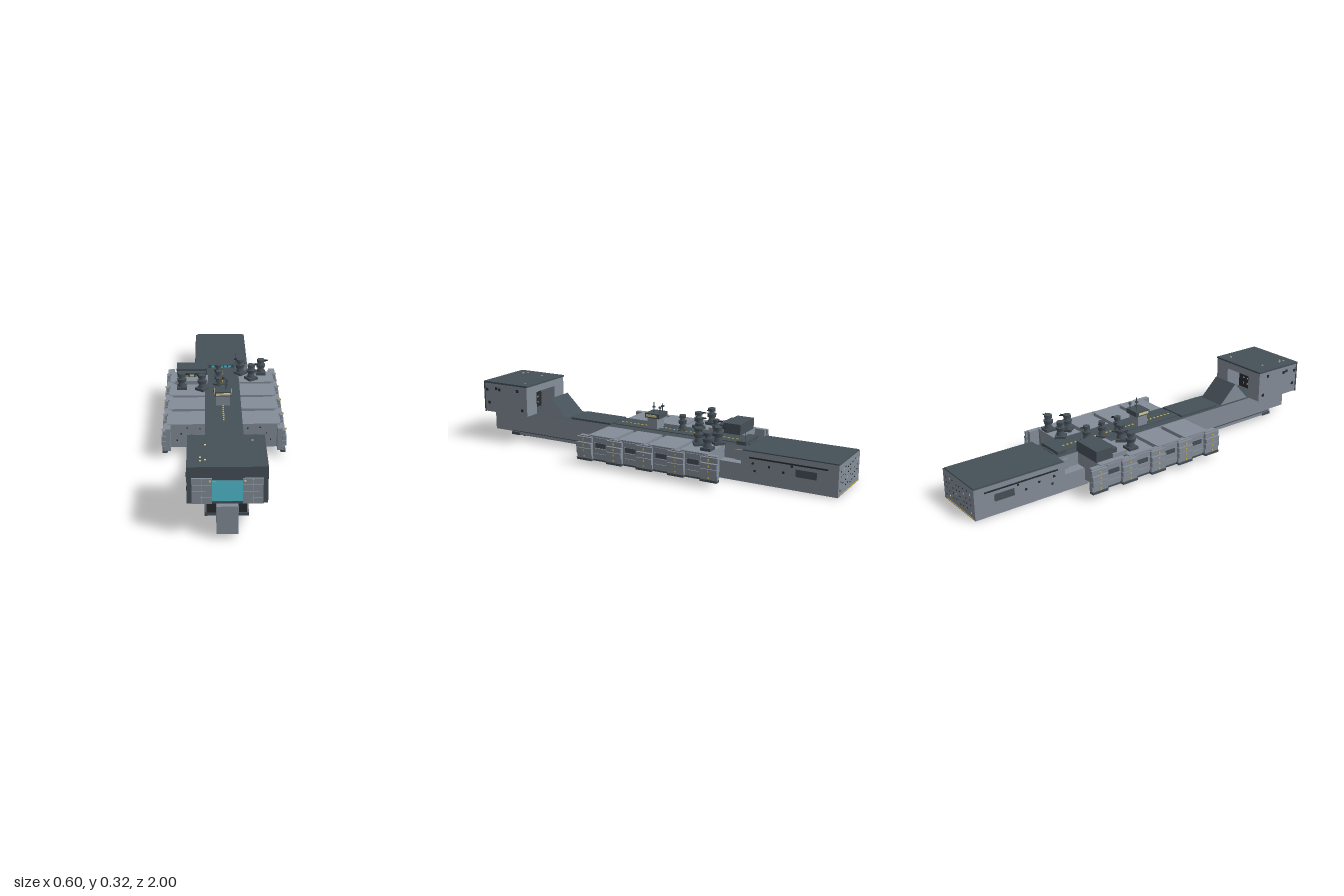
import * as THREE from 'three';

const mat = (name, color) => {
  const m = new THREE.MeshStandardMaterial({ color });
  m.name = name;
  return m;
};

export function createModel() {
  const root = new THREE.Group();
  root.name = 'spaceCruiser';
  const hull = mat('hull grey', 0x848d98);
  const dark = mat('dark plating', 0x465058);
  const black = mat('recess black', 0x272c31);
  const cyan = mat('glass cyan', 0x50bccf);
  const yellow = mat('marker yellow', 0xc9aa3a);
  const cream = mat('window cream', 0xd6cb98);

  // Box from its limits; top and bottom may have their own colour
  function box(name, m, x0, x1, y0, y1, z0, z1, top = m, bottom = m, parent = root) {
    const geo = new THREE.BoxGeometry(x1 - x0, y1 - y0, z1 - z0);
    const mesh = new THREE.Mesh(geo, top === m && bottom === m ? m : [m, m, top, bottom, m, m]);
    mesh.position.set((x0 + x1) / 2, (y0 + y1) / 2, (z0 + z1) / 2);
    mesh.name = name;
    parent.add(mesh);
    return mesh;
  }
  // Box mirrored to both sides of the ship
  function pair(name, m, x0, x1, y0, y1, z0, z1, top = m, bottom = m) {
    box(name + 'Left', m, x0, x1, y0, y1, z0, z1, top, bottom);
    box(name + 'Right', m, -x1, -x0, y0, y1, z0, z1, top, bottom);
  }
  function cyl(name, m, r0, r1, h, x, y, z, sides, parent) {
    const mesh = new THREE.Mesh(new THREE.CylinderGeometry(r0, r1, h, sides), m);
    mesh.position.set(x, y, z);
    mesh.name = name;
    parent.add(mesh);
    return mesh;
  }

  // Neck, nose and keel
  box('neck', hull, -0.09, 0.09, 0.028, 0.155, -0.53, 0.85, dark, dark);
  box('neckFrontFrame', dark, -0.093, 0.093, 0.025, 0.04, 0.8, 0.856);
  pair('neckFrontRecess', black, 0.045, 0.085, 0.04, 0.154, 0.85, 0.854);
  box('nose', hull, -0.045, 0.045, 0.026, 0.155, 0.85, 1.0);
  box('lowerHull', hull, -0.143, 0.143, 0.016, 0.09, -0.53, 0.28, hull, dark);
  box('rearKeel', hull, -0.143, 0.143, 0.004, 0.03, -0.53, -0.4, hull, dark);
  pair('keelRail', black, 0.022, 0.032, 0.002, 0.016, -0.5, 0.24);
  pair('keelFin', dark, 0.02, 0.032, 0.002, 0.03, 0.815, 0.825);
  box('spine', dark, -0.046, 0.046, 0.1, 0.158, -0.53, 0.23);
  box('foreDeck', dark, -0.075, 0.075, 0.15, 0.164, 0.23, 0.47);
  for (const s of [-1, 1]) box('neckSeam', dark, s * 0.0915 - 0.0015, s * 0.0915 + 0.0015, 0.045, 0.049, 0.29, 0.85);
  for (let z = -0.47; z < 0.22; z += 0.023)
    box('spineLight', yellow, -0.004, 0.004, 0.157, 0.161, z, z + 0.01);

  // Ridge behind the bridge
  const tri = new THREE.Shape([[0.5, 0.155], [0.69, 0.155], [0.6, 0.25]].map(p => new THREE.Vector2(...p)));
  const ridgeGeo = new THREE.ExtrudeGeometry(tri, { depth: 0.15, bevelEnabled: false });
  ridgeGeo.rotateY(-Math.PI / 2).translate(0.075, 0, 0);
  const ridge = new THREE.Mesh(ridgeGeo, [hull, dark]);
  ridge.name = 'ridge';
  root.add(ridge);

  // Bridge block with an open bay at the rear
  pair('bridgeWall', hull, 0.08, 0.163, 0.157, 0.314, 0.69, 0.966, hull, dark);
  box('bridgeCore', black, -0.08, 0.08, 0.157, 0.314, 0.78, 0.966);
  box('bridgeLintel', hull, -0.08, 0.08, 0.275, 0.314, 0.69, 0.78, hull, dark);
  box('bridgeRoof', dark, -0.165, 0.165, 0.312, 0.321, 0.686, 0.972);
  box('bridgeFace', dark, -0.165, 0.165, 0.155, 0.32, 0.964, 0.972);
  for (let i = 0; i < 4; i++) {
    const y = 0.156 + i * 0.0293;
    pair('faceLouver', hull, 0.062, 0.145, y, y + 0.0275, 0.968, 0.979);
    for (let k = 0; k < 3; k++)
      pair('faceMarker', yellow, 0.102, 0.1045, y + 0.002 + k * 0.009, y + 0.007 + k * 0.009, 0.978, 0.981);
  }
  box('bridgeWindow', cyan, -0.062, 0.062, 0.168, 0.26, 0.97, 0.978);
  box('windowSill', dark, -0.062, 0.062, 0.157, 0.167, 0.97, 0.978);
  pair('faceLamp', cream, 0.067, 0.075, 0.257, 0.265, 0.978, 0.981);
  for (const [z, y] of [[0.95, 0.27], [0.89, 0.28], [0.87, 0.275], [0.75, 0.28], [0.94, 0.2], [0.72, 0.18]])
    pair('bridgePort', black, 0.16, 0.167, y, y + 0.014, z - 0.007, z + 0.007);
  for (const [x, z] of [[-0.11, 0.89], [-0.09, 0.91], [-0.09, 0.78], [0.11, 0.74], [-0.11, 0.92]])
    box('roofLamp', cream, x - 0.004, x + 0.004, 0.32, 0.323, z - 0.004, z + 0.004);
  for (let i = 0; i < 12; i++)
    box('bayLamp', yellow, -0.05 + (i % 4) * 0.03, -0.043 + (i % 4) * 0.03,
      0.18 + Math.floor(i / 4) * 0.03, 0.187 + Math.floor(i / 4) * 0.03, 0.777, 0.781);

  // Four hull segments on each side
  for (const [z0, z1] of [[-0.42, -0.277], [-0.253, -0.107], [-0.083, 0.06], [0.085, 0.232]]) {
    pair('segment', hull, 0.046, 0.27, 0.03, 0.152, z0, z1);
    for (let i = 0; i < 4; i++) {
      const y = 0.04 + i * 0.027;
      pair('segmentRib', hull, 0.268, 0.275, y, y + 0.023, z0 + 0.035, z1 - 0.035);
    }
    pair('segmentVent', dark, 0.274, 0.277, 0.095, 0.118, (z0 + z1) / 2 - 0.03, (z0 + z1) / 2 + 0.03);
    pair('segmentFoot', dark, 0.2, 0.273, 0.026, 0.034, z0 + 0.01, z1 - 0.01);
  }

  // Five armoured end caps on each side, over the gaps
  for (const z of [0.245, 0.073, -0.095, -0.265, -0.437]) {
    pair('capBack', hull, 0.255, 0.279, 0.034, 0.148, z - 0.035, z + 0.035);
    for (let i = 0; i < 4; i++) {
      const y = 0.036 + i * 0.0275;
      pair('capPlate', hull, 0.277, i === 0 || i === 3 ? 0.29 : 0.297, y, y + 0.025, z - 0.043, z + 0.043);
      pair('capLight', yellow, 0.295, 0.2985, y + 0.009, y + 0.017, z - 0.004, z + 0.004);
    }
    pair('capFoot', dark, 0.27, 0.295, 0.027, 0.038, z - 0.043, z + 0.043);
  }
  for (const [x, y] of [[0.115, 0.125], [0.145, 0.07], [0.155, 0.09], [0.205, 0.1], [0.225, 0.065], [0.175, 0.13]])
    pair('frontPort', black, x - 0.003, x + 0.003, y, y + 0.006, 0.231, 0.234);

  // Engine block
  box('engineBlock', hull, -0.143, 0.143, 0.004, 0.152, -1.0, -0.53, dark, dark);
  box('engineRoof', dark, -0.136, 0.136, 0.15, 0.157, -0.997, -0.533);
  box('engineCollar', hull, -0.1, 0.1, 0.02, 0.14, -0.54, -0.48);
  pair('engineSlot', black, 0.141, 0.1455, 0.122, 0.129, -0.95, -0.57);
  pair('engineVent', dark, 0.141, 0.146, 0.07, 0.105, -0.9, -0.8);
  for (const [z, y] of [[-0.59, 0.095], [-0.6, 0.06], [-0.67, 0.09], [-0.74, 0.075], [-0.78, 0.11]])
    pair('enginePort', black, 0.141, 0.1455, y, y + 0.01, z - 0.005, z + 0.005);
  for (let i = 0; i < 32; i++) {
    const x = -0.115 + (i % 8) * 0.032 + (i * 7 % 5) * 0.002;
    const y = 0.03 + Math.floor(i / 8) * 0.028 + (i * 5 % 7) * 0.002;
    box('sternPort', i % 6 === 0 ? cream : black, x, x + 0.006, y, y + 0.005, -1.002, -0.998);
  }
  box('sternBar', yellow, -0.12, 0.12, 0.008, 0.011, -1.002, -0.998);

  // Console and mast ahead of the engines
  box('console', dark, -0.07, 0.07, 0.15, 0.172, -0.52, -0.47);
  for (let i = 0; i < 5; i++)
    box('consoleWindow', cyan, -0.055 + i * 0.023, -0.038 + i * 0.023, 0.158, 0.168, -0.472, -0.468);
  cyl('mast', dark, 0.0015, 0.0015, 0.07, 0.08, 0.185, -0.52, 6, root);

  // Gun turrets
  function turret(x, z, dir, scale = 1) {
    const g = new THREE.Group();
    g.name = 'turret';
    box('turretBase', dark, -0.026, 0.026, 0, 0.014, -0.026, 0.026, dark, dark, g);
    cyl('turretStem', dark, 0.014, 0.022, 0.026, 0, 0.026, 0, 8, g);
    cyl('turretRing', dark, 0.025, 0.022, 0.018, 0, 0.047, 0, 8, g);
    cyl('turretNeck', dark, 0.012, 0.016, 0.012, 0, 0.061, 0, 8, g);
    cyl('turretHead', dark, 0.02, 0.02, 0.016, 0, 0.076, 0, 8, g);
    for (const s of [-1, 1])
      box('turretBarrel', black, 0.01, 0.038, 0.075, 0.079, s * 0.007 - 0.002, s * 0.007 + 0.002, black, black, g);
    g.position.set(x, 0.152, z);
    g.rotation.y = dir;
    g.scale.set(scale, 1, scale);
    root.add(g);
  }
  for (const [x, z, d] of [[0.1, -0.39, 2.4], [0.21, -0.39, 0], [0.155, -0.315, 0.6],
    [-0.21, -0.2, 0], [-0.105, -0.18, 2.5]]) turret(x, z, d);
  for (const [z, d] of [[-0.32, 1.6], [-0.23, 2.2], [-0.135, 0.5]]) turret(-0.018, z, d, 0.85);

  // Deck house on the right side
  box('deckHouse', dark, -0.24, -0.08, 0.15, 0.207, -0.42, -0.33);
  box('deckHouseStep', hull, -0.245, -0.075, 0.15, 0.172, -0.33, -0.25);
  box('deckHouseFront', dark, -0.235, -0.085, 0.17, 0.195, -0.33, -0.3);
  for (let i = 0; i < 5; i++)
    box('deckHouseWindow', cream, -0.228 + i * 0.029, -0.206 + i * 0.029, 0.177, 0.188, -0.301, -0.297);

  // Command tower with aerials
  box('towerBase', hull, -0.035, 0.035, 0.155, 0.215, -0.02, 0.035, dark);
  box('towerTop', dark, -0.042, 0.042, 0.212, 0.236, -0.035, 0.045);
  box('towerWindow', cream, -0.036, 0.036, 0.218, 0.23, 0.044, 0.048);
  pair('towerSideWindow', cream, 0.041, 0.044, 0.218, 0.23, -0.02, 0.04);
  for (const [x, z, h] of [[0.015, 0.01, 0.055], [-0.02, -0.02, 0.045], [0.02, -0.028, 0.04]]) {
    cyl('aerial', dark, 0.0025, 0.0025, h, x, 0.235 + h / 2, z, 6, root);
    box('aerialHead', dark, x - 0.006, x + 0.006, 0.262, 0.269, z - 0.006, z + 0.006);
  }
  return root;
}
